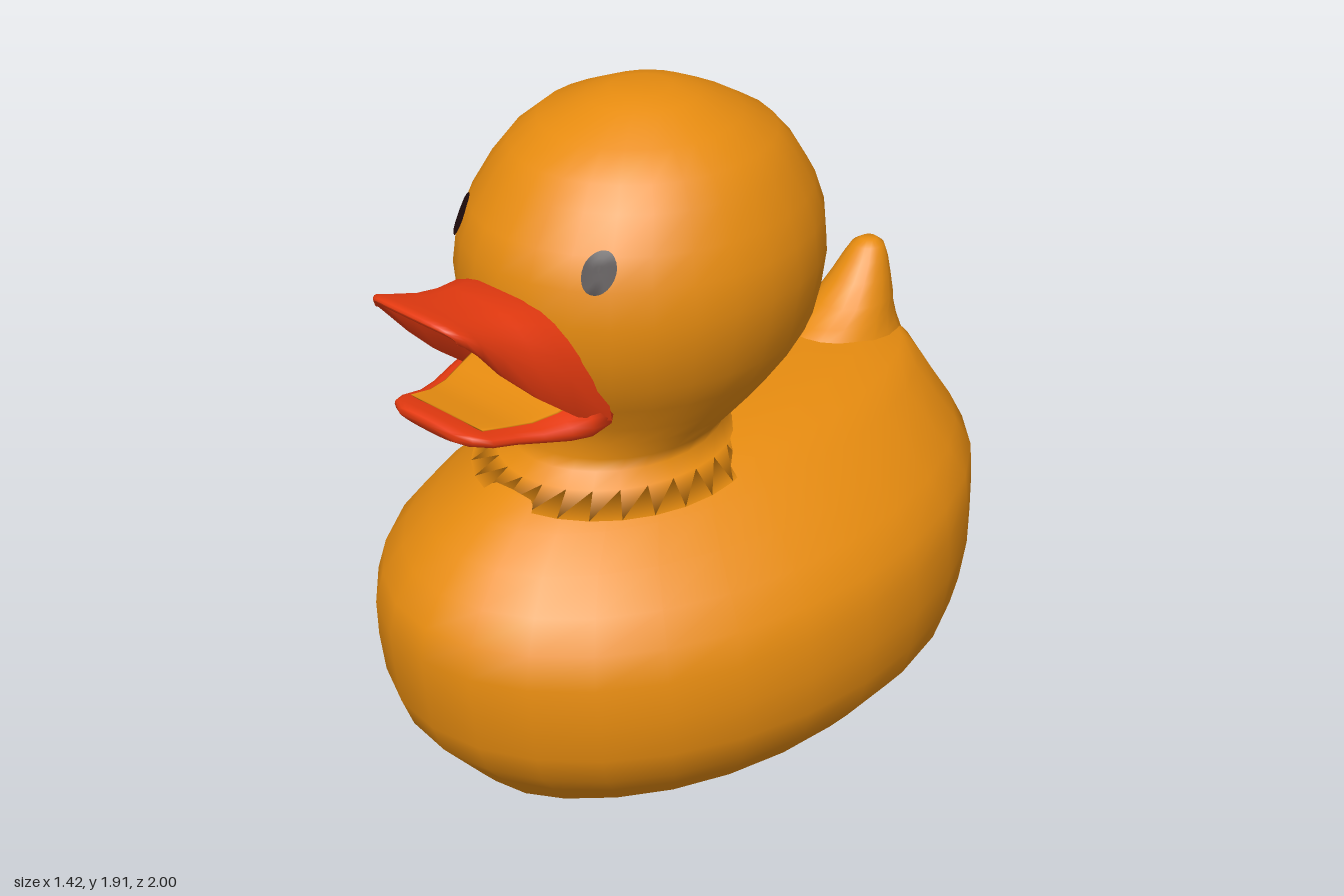
import * as THREE from 'three';

const yellow = new THREE.MeshStandardMaterial({ color: 0xe98d10 });
yellow.name = 'duckYellow';
const red = new THREE.MeshStandardMaterial({ color: 0xe63a10, side: THREE.DoubleSide });
red.name = 'billRed';
const black = new THREE.MeshStandardMaterial({ color: 0x1e0b0d, side: THREE.DoubleSide });
black.name = 'eyeBlack';

// Skin a list of closed rings (arrays of [x, y, z]); caps are fans to the ring centres.
function loft(rings, capStart = true, capEnd = true) {
  const n = rings[0].length, pos = rings.flat(2), idx = [];
  const at = (i, j) => i * n + (j % n);
  for (let i = 0; i < rings.length - 1; i++) {
    for (let j = 0; j < n; j++) {
      const a = at(i, j), b = at(i + 1, j), c = at(i, j + 1), d = at(i + 1, j + 1);
      idx.push(a, b, c, c, b, d);
    }
  }
  const cap = (i, start) => {
    const k = pos.length / 3;
    for (let axis = 0; axis < 3; axis++) pos.push(rings[i].reduce((s, p) => s + p[axis], 0) / n);
    for (let j = 0; j < n; j++) {
      if (start) idx.push(k, at(i, j), at(i, j + 1));
      else idx.push(at(i, j), k, at(i, j + 1));
    }
  };
  if (capStart) cap(0, true);
  if (capEnd) cap(rings.length - 1, false);
  const g = new THREE.BufferGeometry();
  g.setAttribute('position', new THREE.Float32BufferAttribute(pos, 3));
  g.setIndex(idx);
  g.computeVertexNormals();
  return g;
}

// Horizontal oval from [y, half width, front z, back z].
function oval([y, w, zf, zb], n = 28) {
  return Array.from({ length: n }, (_, j) => {
    const a = (j / n) * Math.PI * 2;
    return [w * Math.cos(a), y, (zf + zb) / 2 + ((zf - zb) / 2) * Math.sin(a)];
  });
}

// Upright rounded slab section from [z, half width, bottom y, top y].
function slab([z, w, y0, y1], n = 24) {
  const soft = (v, p) => Math.sign(v) * Math.abs(v) ** p;
  return Array.from({ length: n }, (_, j) => {
    const a = (j / n) * Math.PI * 2;
    return [w * soft(Math.cos(a), 0.8), (y0 + y1) / 2 - ((y1 - y0) / 2) * soft(Math.sin(a), 0.6), z];
  });
}

// Arched bill section: outer arch left to right, then the inner arch back.
function arch([cy, cz, sx, sy, sz, t], n = 14) {
  const point = (u, th) => {
    const a = u * Math.PI / 2, s = Math.sin(a), c = Math.max(0, Math.cos(a));
    return [
      (sx - th * 0.7) * Math.sign(s) * Math.abs(s) ** 0.7,
      sy + (cy - th - sy) * c ** 0.65,
      sz + (cz - sz) * c,
    ];
  };
  const ring = [];
  for (let k = 0; k <= n; k++) ring.push(point(-1 + (2 * k) / n, 0));
  for (let k = n; k >= 0; k--) ring.push(point(-1 + (2 * k) / n, t));
  return ring;
}

const bodyRows = [
  [0.004, 0.42, 0.72, -0.79], [0.006, 0.45, 0.76, -0.82], [0.05, 0.54, 0.8, -0.87],
  [0.13, 0.61, 0.87, -0.905], [0.21, 0.675, 0.94, -0.93], [0.3, 0.7, 0.975, -0.95],
  [0.42, 0.712, 0.99, -0.975], [0.53, 0.695, 1, -0.99], [0.62, 0.667, 0.98, -1],
  [0.7, 0.6, 0.925, -0.965], [0.78, 0.515, 0.85, -0.92], [0.85, 0.42, 0.75, -0.885],
  [0.9, 0.345, 0.67, -0.84], [0.93, 0.26, 0.58, -0.68], [0.943, 0.15, 0.4, -0.48],
];

const headRows = [
  [0.88, 0.37, 0.69, -0.13], [0.93, 0.3, 0.62, -0.08], [0.965, 0.265, 0.578, -0.045],
  [1.0, 0.275, 0.567, -0.07], [1.05, 0.31, 0.568, -0.14], [1.1, 0.345, 0.575, -0.2],
  [1.18, 0.395, 0.62, -0.275], [1.26, 0.437, 0.66, -0.325], [1.35, 0.457, 0.685, -0.348],
  [1.45, 0.473, 0.69, -0.355], [1.55, 0.457, 0.68, -0.352], [1.63, 0.427, 0.645, -0.327],
  [1.72, 0.382, 0.58, -0.27], [1.78, 0.335, 0.53, -0.215], [1.84, 0.262, 0.445, -0.11],
  [1.89, 0.145, 0.315, 0], [1.908, 0.08, 0.255, 0.08],
];

const tailRows = [
  [0.78, 0.22, -0.34, -0.91], [0.86, 0.18, -0.38, -0.88], [0.92, 0.145, -0.43, -0.862],
  [0.96, 0.122, -0.51, -0.855], [1.0, 0.108, -0.59, -0.85], [1.06, 0.085, -0.655, -0.842],
  [1.11, 0.066, -0.7, -0.835], [1.145, 0.048, -0.73, -0.825], [1.16, 0.024, -0.755, -0.805],
];

// Front surface of the head at a given x and y.
function headZ(x, y) {
  const i = headRows.findIndex((r) => r[0] > y), a = headRows[i - 1], b = headRows[i];
  const f = (y - a[0]) / (b[0] - a[0]);
  const [w, zf, zb] = [1, 2, 3].map((k) => a[k] + (b[k] - a[k]) * f);
  return (zf + zb) / 2 + ((zf - zb) / 2) * Math.sqrt(1 - (x / w) ** 2);
}

// Thin oval eye laid on the head.
function eye(side) {
  const g = new THREE.RingGeometry(0, 1, 24, 3), p = g.attributes.position;
  for (let i = 0; i < p.count; i++) {
    const v = p.getY(i) * 0.052;
    const x = side * (0.252 + p.getX(i) * 0.034 - v * 0.12), y = 1.597 + v;
    p.setXYZ(i, x + side * 0.004, y, headZ(x, y) + 0.006);
  }
  if (side < 0) g.index.array.reverse();
  g.computeVertexNormals();
  return g;
}

export function createModel() {
  const duck = new THREE.Group();
  duck.name = 'bathDuck';
  const add = (name, geometry, material) => {
    const m = new THREE.Mesh(geometry, material);
    m.name = name;
    duck.add(m);
    return m;
  };

  // Yellow figure
  add('body', loft(bodyRows.map((r) => oval(r))), yellow);
  add('head', loft(headRows.map((r) => oval(r))), yellow);
  add('tail', loft(tailRows.map((r) => oval(r, 18))), yellow);

  // Upper bill: arches running from the face out to the upturned tip
  const upper = [
    [1.48, 0.6, 0.25, 1.16, 0.53, 0.05], [1.515, 0.71, 0.238, 1.21, 0.64, 0.05],
    [1.516, 0.77, 0.21, 1.28, 0.73, 0.045], [1.525, 0.84, 0.187, 1.375, 0.83, 0.04],
    [1.54, 0.92, 0.19, 1.455, 0.9, 0.035], [1.553, 0.965, 0.175, 1.49, 0.935, 0.03],
    [1.55, 0.983, 0.16, 1.5, 0.95, 0.016], [1.542, 0.985, 0.155, 1.5, 0.952, 0.001],
  ];
  add('upperBill', loft(upper.map((r) => arch(r)), false, false), red);

  // Lower bill and the yellow plate lying in it
  const lower = [
    [0.52, 0.245, 1.11, 1.235], [0.6, 0.258, 1.112, 1.225], [0.66, 0.243, 1.125, 1.21],
    [0.73, 0.215, 1.145, 1.2], [0.8, 0.188, 1.16, 1.207], [0.87, 0.178, 1.175, 1.222],
    [0.915, 0.15, 1.187, 1.235], [0.935, 0.11, 1.197, 1.23],
  ];
  add('lowerBill', loft(lower.map((r) => slab(r))), red);
  const plate = lower.slice(0, 6).map(([z, w, , top]) => [z, w * 0.78, top - 0.003, top + 0.005]);
  add('mouthFloor', loft(plate.map((r) => slab(r))), yellow);

  // Eyes and the air hole underneath
  add('leftEye', eye(1), black);
  add('rightEye', eye(-1), black);
  const hole = add('airHole', new THREE.CircleGeometry(0.035, 16), black);
  hole.rotation.x = Math.PI / 2;
  return duck;
}
